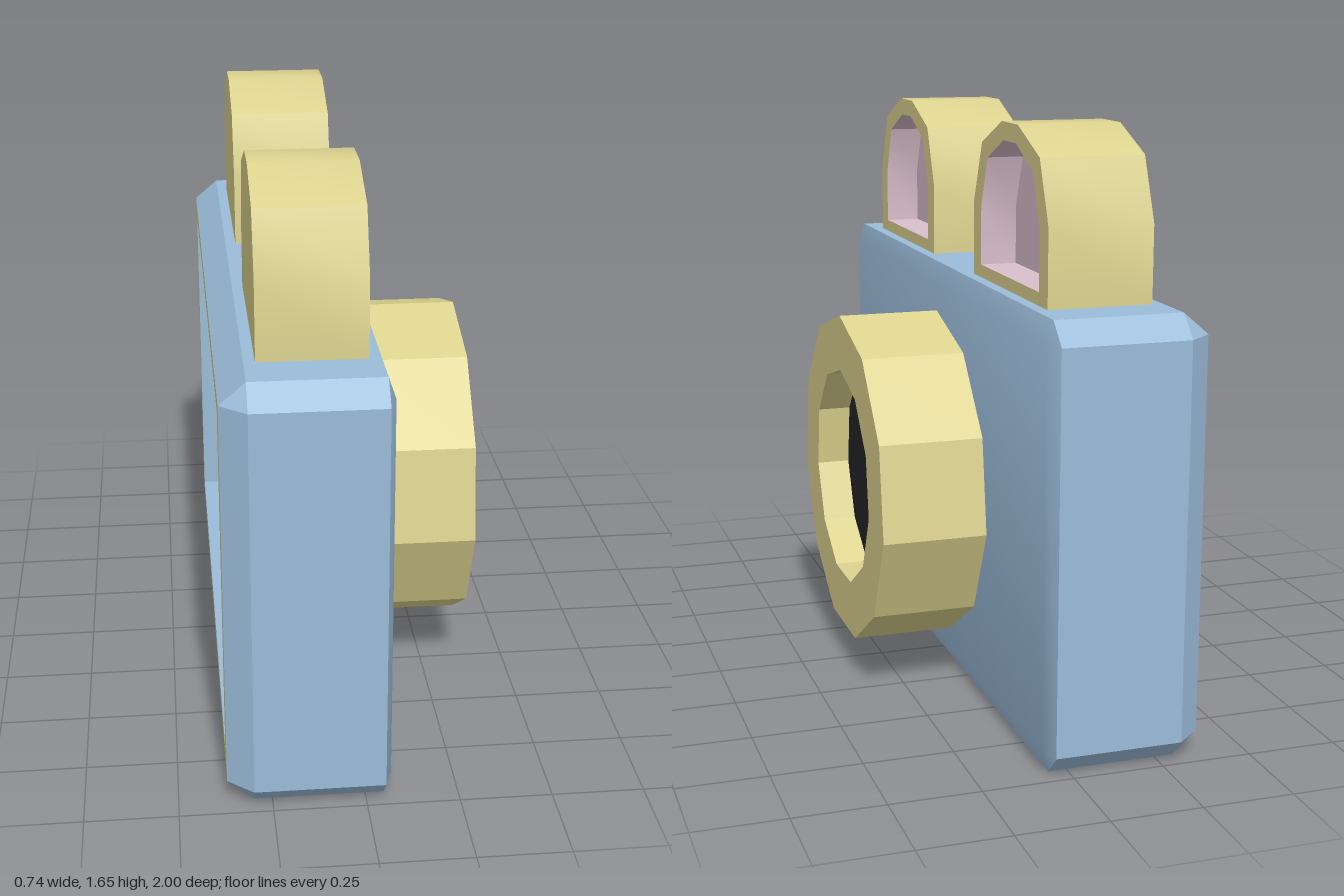
import * as THREE from 'three';
import { toCreasedNormals } from 'three/addons/utils/BufferGeometryUtils.js';

const material = (name, color) => Object.assign(new THREE.MeshStandardMaterial({ color }), { name });

// Joins [x, outline] sections; outlines are [y, z] loops running from +y towards +z.
function loft(sections, { capStart = false, capEnd = false } = {}) {
  const positions = [];
  const rings = sections.map(([x, outline]) => outline.map(([y, z]) => new THREE.Vector3(x, y, z)));
  const tri = (a, b, c) => {
    if (new THREE.Triangle(a, b, c).getArea() < 1e-7) return;
    for (const p of [a, b, c]) positions.push(p.x, p.y, p.z);
  };
  for (let s = 0; s < rings.length - 1; s++) {
    const a = rings[s], b = rings[s + 1], n = a.length;
    for (let i = 0; i < n; i++) {
      const j = (i + 1) % n;
      tri(a[i], a[j], b[j]);
      tri(a[i], b[j], b[i]);
    }
  }
  const first = rings[0], last = rings[rings.length - 1];
  for (let i = 1; i < first.length - 1; i++) {
    if (capStart) tri(first[0], first[i + 1], first[i]);
    if (capEnd) tri(last[0], last[i], last[i + 1]);
  }
  const geometry = new THREE.BufferGeometry();
  geometry.setAttribute('position', new THREE.Float32BufferAttribute(positions, 3));
  return toCreasedNormals(geometry, 0.48);
}

const MID = 0.6;
const rect = (h, w) => [[MID + h, w], [MID - h, w], [MID - h, -w], [MID + h, -w]];
const doubled = (outline) => outline.flatMap((p) => [p, p]);
const cutRect = (h, w, c) => [
  [MID + h, w - c], [MID + h - c, w], [MID - h + c, w], [MID - h, w - c],
  [MID - h, c - w], [MID - h + c, -w], [MID + h - c, -w], [MID + h, c - w],
];
const polygon = (y, r, n) => Array.from({ length: n }, (_, i) => {
  const a = (i / n) * Math.PI * 2;
  return [y + r * Math.cos(a), r * Math.sin(a)];
});
// Mirrors a half outline of [y, offset] points about z = centre
const arch = (half, centre) => [
  ...half.map(([y, d]) => [y, centre + d]),
  ...half.slice().reverse().map(([y, d]) => [y, centre - d]),
];

export function createModel() {
  const blue = material('body blue', 0x9bbcd9);
  const gold = material('trim yellow', 0xdcd38f);
  const pink = material('ear pink', 0xd9bfcc);
  const black = material('glass black', 0x252528);

  const model = new THREE.Group();
  model.name = 'camera';
  const add = (name, geometry, mat, parent = model) => {
    const mesh = new THREE.Mesh(geometry, mat);
    mesh.name = name;
    parent.add(mesh);
  };

  // Bevelled body, open at the back for the screen
  const face = rect(0.54, 0.94), full = cutRect(0.6, 1, 0.06);
  add('body', loft([
    [-0.37, doubled(face)], [-0.3, full], [0.05, full], [0.07, doubled(face)],
  ], { capEnd: true }), blue);

  // Recessed screen in its frame
  const opening = rect(0.492, 0.856);
  add('screenFrame', loft([[-0.37, opening], [-0.37, face]]), gold);
  add('screenRecess', loft([[-0.3, opening], [-0.37, opening]]), blue);
  add('screen', loft([[-0.3, opening]], { capStart: true }), black);

  // Eleven-sided lens barrel with recessed glass
  const outer = polygon(0.576, 0.485, 11), inner = polygon(0.578, 0.321, 11);
  add('lensBarrel', loft([[0.07, outer], [0.367, outer], [0.367, inner], [0.27, inner]]), gold);
  add('lensGlass', loft([[0.27, inner]], { capEnd: true }), black);

  // Pair of hollow-fronted ears
  const earHalf = [[1.65, 0.065], [1.58, 0.235], [1.41, 0.305], [1.195, 0.305]];
  const hollowHalf = [[1.6, 0.05], [1.542, 0.185], [1.4, 0.24], [1.236, 0.24]];
  for (const side of [1, -1]) {
    const ear = new THREE.Group();
    ear.name = side > 0 ? 'earFrontSide' : 'earBackSide';
    const shell = arch(earHalf, side * 0.505), hollow = arch(hollowHalf, side * 0.505);
    add('earShell', loft([[-0.27, shell], [0.018, shell], [0.018, hollow]], { capStart: true }), gold, ear);
    add('earHollow', loft([[0.018, hollow], [-0.085, hollow]], { capEnd: true }), pink, ear);
    model.add(ear);
  }
  return model;
}
